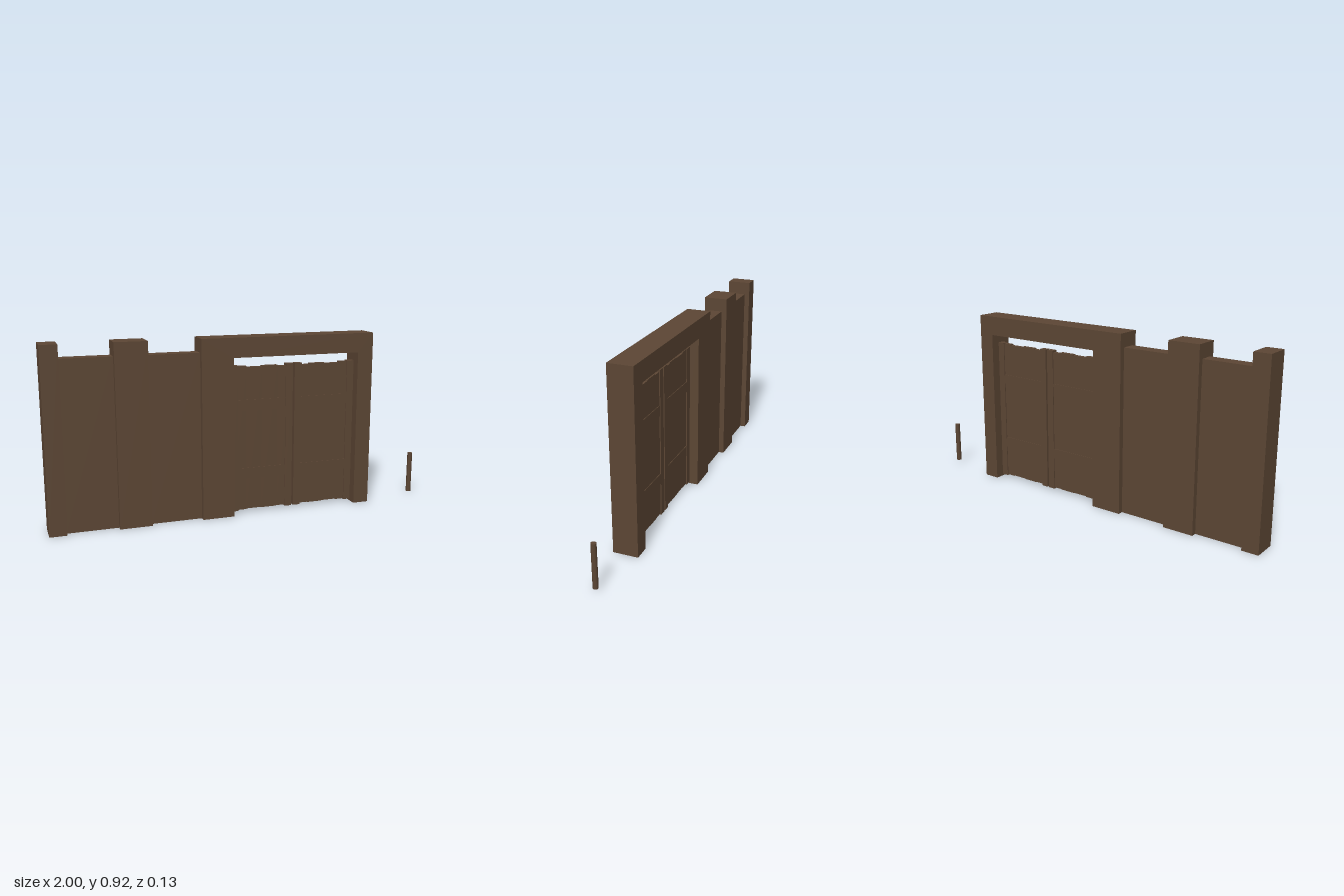
import * as THREE from 'three';

const wood = new THREE.MeshStandardMaterial({ color: 0x5c4634, side: THREE.DoubleSide });
wood.name = 'dark brown wood';

// Remove the faces lying on the ground, leaving a hollow shell
function openBottom(geometry) {
  const g = geometry.index ? geometry.toNonIndexed() : geometry;
  const p = g.attributes.position;
  const kept = [];
  for (let i = 0; i < p.count; i += 3) {
    const grounded = [0, 1, 2].every((k) => Math.abs(p.getY(i + k)) < 1e-4);
    if (!grounded) kept.push(i, i + 1, i + 2);
  }
  g.setIndex(kept);
  g.clearGroups();
  return g;
}

function add(parent, name, geometry) {
  const mesh = new THREE.Mesh(geometry, wood);
  mesh.name = name;
  parent.add(mesh);
  return mesh;
}

// Box from x and y limits, centred on z = 0
function slab(x0, x1, y0, y1, depth) {
  return new THREE.BoxGeometry(x1 - x0, y1 - y0, depth)
    .translate((x0 + x1) / 2, (y0 + y1) / 2, 0);
}

// One door leaf: uneven planks, two edge stiles and two cross rails
function createDoor(name, x0, mirrored) {
  const door = new THREE.Group();
  door.name = name;
  const width = 0.335, stile = 0.038;
  const tops = [0.77, 0.764, 0.768, 0.763];
  const bottoms = [0.014, 0.017, 0.015, 0.017];
  const step = width / tops.length;
  tops.forEach((top, i) => {
    const k = mirrored ? tops.length - 1 - i : i;
    add(door, 'doorPlank', slab(x0 + k * step, x0 + (k + 1) * step, bottoms[i], top, 0.022));
  });
  for (const x of [x0, x0 + width - stile]) {
    add(door, 'doorStile', slab(x, x + stile, 0.01, 0.773, 0.032));
  }
  for (const y of [0.182, 0.541]) {
    add(door, 'doorRail', slab(x0 + stile, x0 + width - stile, y, y + 0.056, 0.028));
  }
  return door;
}

export function createModel() {
  const model = new THREE.Group();
  model.name = 'wallWithGate';
  const depth = 0.126;

  // Wall posts
  for (const [x0, x1] of [[-1, -0.915], [-0.66, -0.497]]) {
    add(model, 'wallPost', openBottom(slab(x0, x1, 0, 0.92, depth)));
  }

  // Lower wall panels between the posts
  for (const [x0, x1] of [[-0.915, -0.66], [-0.497, -0.235]]) {
    add(model, 'wallPanel', openBottom(slab(x0, x1, 0, 0.85, 0.07)));
  }

  // Gate frame: two jambs and a lintel in one piece
  const outline = [
    [-0.235, 0], [-0.07, 0], [-0.07, 0.82], [0.61, 0.82],
    [0.61, 0], [0.694, 0], [0.694, 0.92], [-0.235, 0.92],
  ];
  const frame = new THREE.Shape(outline.map(([x, y]) => new THREE.Vector2(x, y)));
  const frameGeometry = new THREE.ExtrudeGeometry(frame, { depth, bevelEnabled: false });
  frameGeometry.translate(0, 0, -depth / 2);
  add(model, 'gateFrame', openBottom(frameGeometry));

  // Double doors
  model.add(createDoor('rightDoor', -0.07, false));
  model.add(createDoor('leftDoor', 0.275, true));

  // Loose bar standing beside the gate
  const bar = add(model, 'gateBar', new THREE.CylinderGeometry(0.0135, 0.0135, 0.222, 8).toNonIndexed());
  bar.position.set(0.986, 0.123, 0);

  return model;
}
